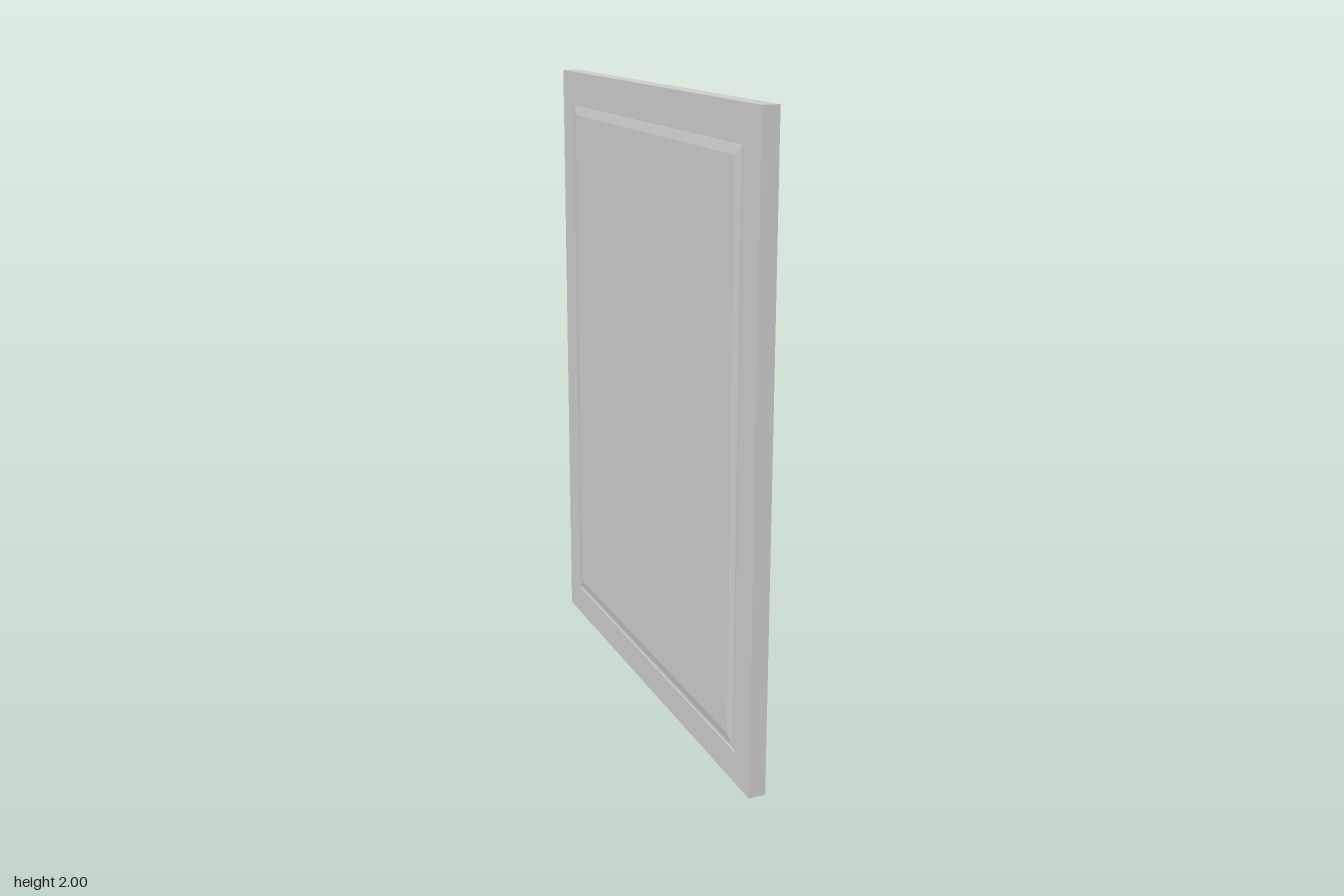
import * as THREE from 'three';

const HEIGHT = 2, DEPTH = 1.556;
const BACK = 0.029, FACE = -0.025, GROOVE = -0.02, TOP = -0.031;

// Corners of a rectangle inset from the door outline, lying at the given x
function ring([inset, x]) {
  const z = DEPTH / 2 - inset, lo = inset, hi = HEIGHT - inset;
  return [[x, lo, -z], [x, lo, z], [x, hi, z], [x, hi, -z]];
}

// Skin a series of nested rectangles, optionally capping the first and last
function nestedRings(profile, capStart, capEnd) {
  const pos = [];
  const quad = (a, b, c, d) => pos.push(...a, ...b, ...c, ...a, ...c, ...d);
  const rings = profile.map(ring);
  for (let i = 0; i < rings.length - 1; i++) {
    for (let k = 0; k < 4; k++) {
      const n = (k + 1) % 4;
      quad(rings[i][k], rings[i][n], rings[i + 1][n], rings[i + 1][k]);
    }
  }
  if (capStart) quad(...rings[0].slice().reverse());
  if (capEnd) quad(...rings[rings.length - 1]);
  const geo = new THREE.BufferGeometry();
  geo.setAttribute('position', new THREE.Float32BufferAttribute(pos, 3));
  geo.computeVertexNormals();
  return geo;
}

export function createModel() {
  const group = new THREE.Group();
  group.name = 'cabinetDoor';
  const material = new THREE.MeshStandardMaterial({ color: 0xcccccc, flatShading: true });
  const add = (name, geometry) => {
    const mesh = new THREE.Mesh(geometry, material);
    mesh.name = name;
    group.add(mesh);
  };

  // Slab with a plain side and a border around the panel
  add('doorFrame', nestedRings([[0, BACK], [0, FACE], [0.1, FACE]], true, false));

  // Narrow groove between border and panel
  add('panelGroove', nestedRings([[0.1, FACE], [0.1, GROOVE], [0.115, GROOVE], [0.115, FACE]], false, false));

  // Raised field with sloping edges
  add('raisedPanel', nestedRings([[0.115, FACE], [0.143, TOP]], false, true));

  return group;
}
